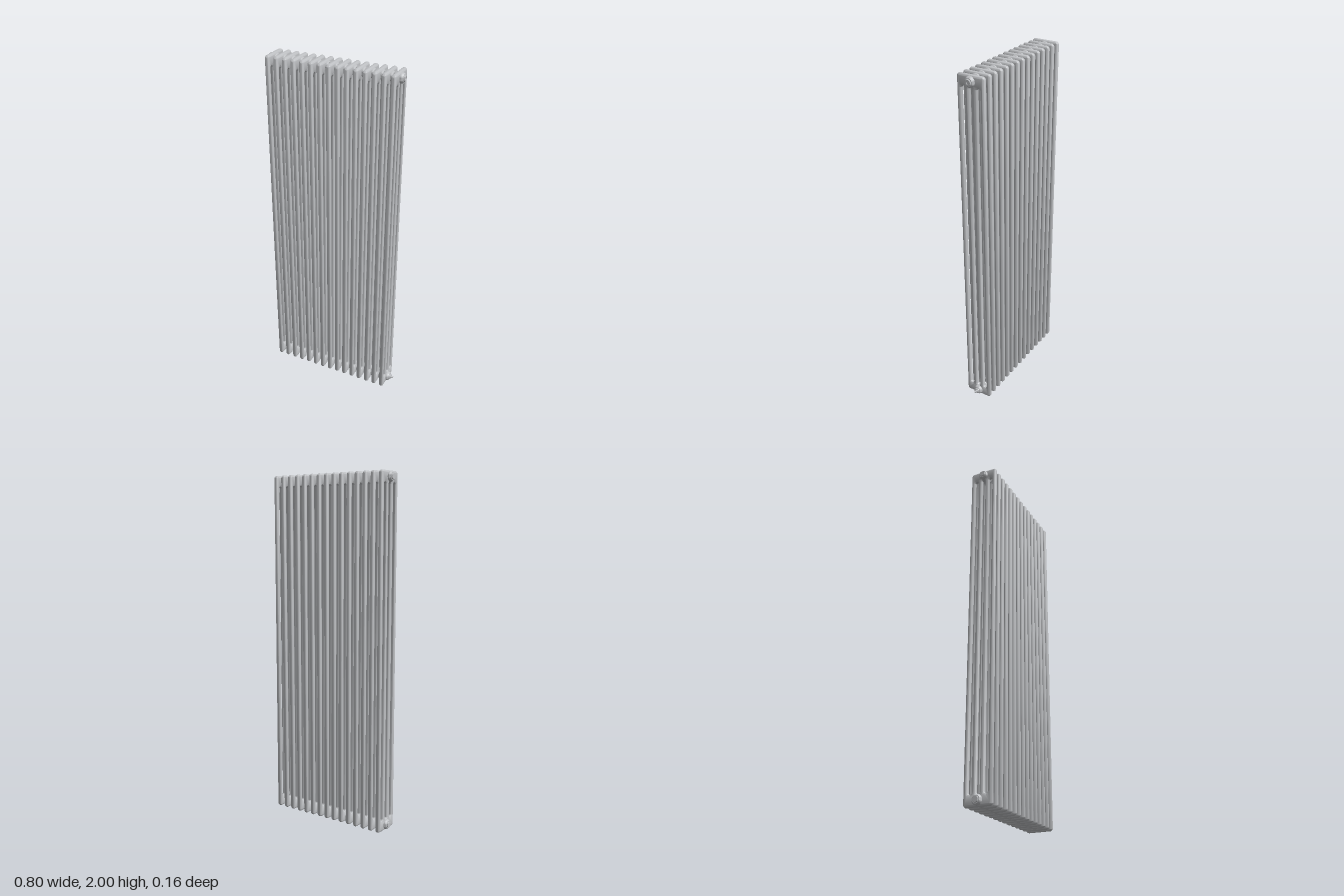
import * as THREE from 'three';
import { toCreasedNormals } from 'three/addons/utils/BufferGeometryUtils.js';

const COUNT = 15, PITCH = 0.0511, FIRST = -0.3665;
const HALF = 0.081;             // half depth of a section
const R = 0.0128;               // column radius
const HEADER_Y = [0.033, 1.967];
const LAST = FIRST + PITCH * (COUNT - 1);

// rounded rectangle path, centred on (cx, cy)
function roundedRect(path, cx, cy, hw, hh, r) {
  path.moveTo(cx + hw, cy - hh + r);
  path.lineTo(cx + hw, cy + hh - r);
  path.absarc(cx + hw - r, cy + hh - r, r, 0, Math.PI / 2);
  path.absarc(cx - hw + r, cy + hh - r, r, Math.PI / 2, Math.PI);
  path.absarc(cx - hw + r, cy - hh + r, r, Math.PI, Math.PI * 1.5);
  path.absarc(cx + hw - r, cy - hh + r, r, Math.PI * 1.5, Math.PI * 2);
  return path;
}

// four round columns joined by headers: a thin skeleton grown by a round bevel
function sectionGeometry() {
  const shape = roundedRect(new THREE.Shape(), 0, 1, HALF - R, 1 - R, 0.005);
  const gap = (2 * (HALF - R)) / 3;
  const slotHalf = gap / 2 - 0.001;
  for (const i of [-1, 0, 1]) {
    shape.holes.push(roundedRect(new THREE.Path(), i * gap, 1, slotHalf, 0.936 + R, slotHalf - 0.0005));
  }
  const depth = 0.001;
  const geo = new THREE.ExtrudeGeometry(shape, {
    depth, bevelEnabled: true, bevelThickness: R, bevelSize: R, bevelSegments: 5, curveSegments: 6,
  });
  geo.translate(0, 0, -depth / 2);
  geo.rotateY(Math.PI / 2);
  return toCreasedNormals(geo, 0.7);
}

// turned part along x from [x, radius] pairs
function turned(profile) {
  const geo = new THREE.LatheGeometry(profile.map(([x, r]) => new THREE.Vector2(r, x)), 24);
  geo.rotateZ(-Math.PI / 2);
  return toCreasedNormals(geo, 0.6);
}

export function createModel() {
  const model = new THREE.Group();
  model.name = 'columnRadiator';
  const paint = new THREE.MeshStandardMaterial({ name: 'greyPaint', color: 0xbfc1c4 });

  const add = (name, geo, x, y) => {
    const mesh = new THREE.Mesh(geo, paint);
    mesh.name = name;
    mesh.position.set(x, y, 0);
    model.add(mesh);
  };

  const section = sectionGeometry();
  // hub through each section, with a narrower neck meeting its neighbour
  const hub = turned([
    [-0.0256, 0.0235], [-0.0215, 0.0245], [-0.0195, 0.027], [-0.014, 0.0285],
    [0.014, 0.0285], [0.0195, 0.027], [0.0215, 0.0245], [0.0256, 0.0235],
  ]);
  // end plugs, measured from the outer section centres
  const leftPlug = turned([
    [-0.0345, 0], [-0.0345, 0.015], [-0.0335, 0.016], [-0.028, 0.0165], [-0.028, 0.021],
    [-0.0235, 0.0245], [-0.0195, 0.027],
  ]);
  const rightPlug = turned([
    [0.0195, 0.027], [0.0265, 0.0245], [0.0295, 0.021], [0.0295, 0.0175],
    [0.035, 0.0165], [0.036, 0.0155], [0.036, 0.008], [0.033, 0.007], [0.033, 0],
  ]);
  // small stepped valve on the lower right end
  const valve = turned([
    [0.033, 0.0135], [0.039, 0.0125], [0.039, 0.0095], [0.043, 0.0085],
    [0.043, 0.0055], [0.0515, 0.005], [0.0525, 0.004], [0.0525, 0],
  ]);

  for (let i = 0; i < COUNT; i++) {
    const x = FIRST + i * PITCH;
    add('columnSection', section, x, 0);
    for (const y of HEADER_Y) add('headerHub', hub, x, y);
  }
  for (const y of HEADER_Y) {
    add('leftEndPlug', leftPlug, FIRST, y);
    add('rightEndPlug', rightPlug, LAST, y);
  }
  add('bleedValve', valve, LAST, HEADER_Y[0]);
  return model;
}
